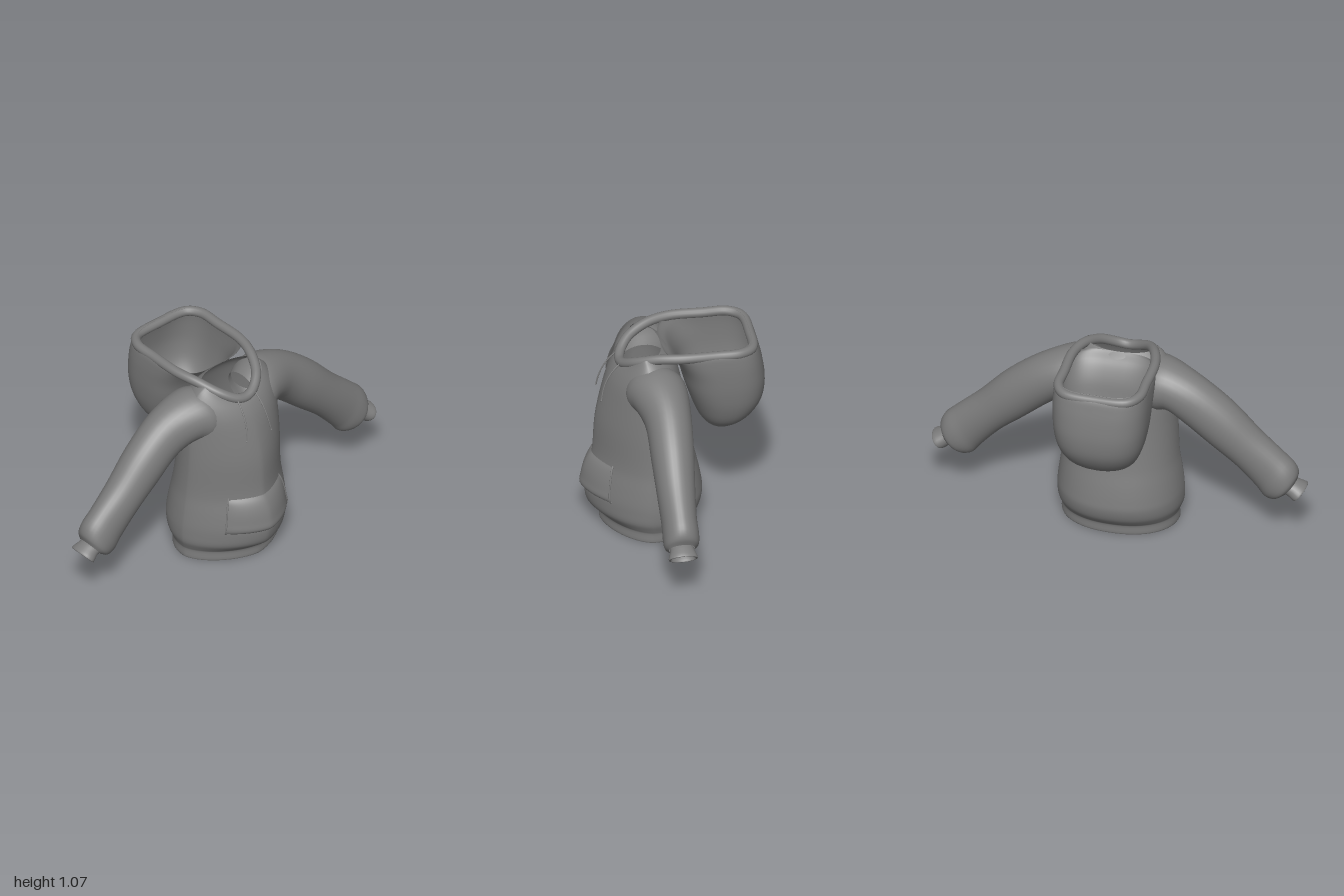
import * as THREE from 'three';

const material = new THREE.MeshStandardMaterial({ color: 0x7b7b7b, side: THREE.DoubleSide });
const V = (x, y, z) => new THREE.Vector3(x, y, z);
const SEG = 64;

function part(geometry, name) {
  const mesh = new THREE.Mesh(geometry, material);
  mesh.name = name;
  return mesh;
}

// Smooth skin through a list of rings with equal point counts
function loft(rings, { steps = 4, closed = true } = {}) {
  const n = rings[0].length;
  const rows = (rings.length - 1) * steps;
  const columns = rings[0].map((_, i) =>
    new THREE.CatmullRomCurve3(rings.map((r) => r[i]), false, 'centripetal').getPoints(rows));
  const positions = [];
  const index = [];
  for (let j = 0; j <= rows; j++) for (let i = 0; i < n; i++) positions.push(...columns[i][j].toArray());
  for (let j = 0; j < rows; j++) {
    for (let i = 0; i < (closed ? n : n - 1); i++) {
      const a = j * n + i;
      const b = j * n + ((i + 1) % n);
      index.push(a, a + n, b, b, a + n, b + n);
    }
  }
  const geometry = new THREE.BufferGeometry();
  geometry.setAttribute('position', new THREE.Float32BufferAttribute(positions, 3));
  geometry.setIndex(index);
  geometry.computeVertexNormals();
  return geometry;
}

// Superellipse ring, level at the back and sides, dipping towards the front
function ring(yFront, yBack, w, zFront, zBack, frontPower, backPower, dip) {
  return Array.from({ length: SEG }, (_, i) => {
    const a = (i / SEG) * Math.PI * 2;
    const power = Math.sin(a) >= 0 ? frontPower : backPower;
    const soft = (v) => Math.sign(v) * Math.abs(v) ** (2 / power);
    const s = soft(Math.sin(a));
    return V(w * soft(Math.cos(a)), yBack + (yFront - yBack) * Math.max(0, s) ** dip,
      (zFront + zBack) / 2 + ((zFront - zBack) / 2) * s);
  });
}

// Torso: yFront, yBack, half width, zFront, zBack, front power (low is more pointed)
const TORSO = [
  [0, 0, 0.31, 0.375, -0.095, 1.6],
  [0.052, 0.052, 0.31, 0.376, -0.098, 1.6],
  [0.07, 0.07, 0.316, 0.397, -0.112, 1.57],
  [0.11, 0.11, 0.33, 0.438, -0.14, 1.53],
  [0.17, 0.17, 0.333, 0.453, -0.155, 1.5],
  [0.22, 0.22, 0.33, 0.452, -0.15, 1.5],
  [0.3, 0.3, 0.32, 0.438, -0.135, 1.5],
  [0.4, 0.4, 0.306, 0.415, -0.112, 1.5],
  [0.6, 0.6, 0.295, 0.4, -0.08, 1.55],
  [0.75, 0.75, 0.288, 0.368, -0.06, 1.65],
  [0.85, 0.87, 0.278, 0.335, -0.035, 1.75],
  [0.9, 0.95, 0.255, 0.308, -0.01, 1.8],
  [0.925, 1.0, 0.22, 0.288, 0.025, 1.8],
  [0.942, 1.03, 0.186, 0.268, 0.06, 1.8],
];

function makeTorso() {
  const hemLining = [[0.04, 0.04, 0.295, 0.36, -0.08, 1.6], [0.004, 0.004, 0.298, 0.363, -0.083, 1.6]];
  return part(loft([...hemLining, ...TORSO].map((r) => ring(...r, 2.2, 1.2))), 'torso');
}

// Depth of the torso front at x, y
function frontZ(x, y) {
  const k = Math.max(1, TORSO.findIndex((r) => r[0] >= y));
  const [a, b] = [TORSO[k - 1], TORSO[k]];
  const t = (y - a[0]) / (b[0] - a[0]);
  const [w, zf, zb, p] = [2, 3, 4, 5].map((i) => a[i] + (b[i] - a[i]) * t);
  return (zf + zb) / 2 + ((zf - zb) / 2) * (1 - Math.abs(x / w) ** p) ** (1 / p);
}

// Sleeve: top x, y, bottom x, y, z centre, z half depth
function makeSleeve(side) {
  const sections = [
    [0.1, 0.95, 0.14, 0.72, 0.13, 0.13],
    [0.19, 0.99, 0.205, 0.7, 0.115, 0.155],
    [0.27, 0.985, 0.265, 0.715, 0.102, 0.145],
    [0.43, 0.918, 0.35, 0.662, 0.083, 0.122],
    [0.6, 0.79, 0.5, 0.535, 0.086, 0.112],
    [0.75, 0.632, 0.625, 0.43, 0.092, 0.1],
    [0.87, 0.522, 0.735, 0.31, 0.095, 0.092],
    [0.932, 0.46, 0.778, 0.257, 0.095, 0.094],
    [0.952, 0.41, 0.825, 0.248, 0.097, 0.088],
    [0.945, 0.37, 0.875, 0.278, 0.1, 0.068],
  ];
  const cuff = [
    [0.935, 0.365, 0.875, 0.285, 0.1, 0.062],
    [0.955, 0.358, 0.895, 0.28, 0.1, 0.064],
    [0.998, 0.335, 0.93, 0.257, 0.102, 0.076],
    [0.992, 0.328, 0.935, 0.262, 0.102, 0.067],
    [0.95, 0.347, 0.9, 0.287, 0.1, 0.052],
  ];
  const toRing = ([tx, ty, bx, by, zc, zh]) => Array.from({ length: 32 }, (_, i) => {
    const a = (i / 32) * Math.PI * 2;
    const c = Math.cos(a) / 2;
    return V(side * ((tx + bx) / 2 + (tx - bx) * c), (ty + by) / 2 + (ty - by) * c, zc + zh * Math.sin(a));
  });
  const group = new THREE.Group();
  group.name = side > 0 ? 'leftSleeve' : 'rightSleeve';
  group.add(part(loft(sections.map(toRing)), 'sleeve'), part(loft(cuff.map(toRing)), 'cuff'));
  return group;
}

// Hood: bag hanging behind the neck, its lip folded over a rim that runs round to the throat
function makeHood() {
  const bag = [
    [1.03, 1.062, 0.222, 0.06, -0.405, 3.6],
    [1.02, 1.045, 0.242, 0.05, -0.432, 3.4],
    [0.985, 0.985, 0.25, 0.01, -0.452, 3.2],
    [0.9, 0.9, 0.25, -0.035, -0.47, 2.9],
    [0.8, 0.8, 0.243, -0.062, -0.48, 2.7],
    [0.7, 0.7, 0.224, -0.095, -0.466, 2.5],
    [0.61, 0.61, 0.186, -0.13, -0.412, 2.3],
    [0.555, 0.555, 0.13, -0.165, -0.345, 2.1],
    [0.528, 0.528, 0.065, -0.2, -0.285, 2],
    [0.522, 0.522, 0.002, -0.238, -0.242, 2],
  ];
  const half = [
    [0.055, 0.95, 0.26], [0.13, 0.992, 0.205], [0.186, 1.03, 0.1], [0.218, 1.041, -0.02],
    [0.219, 1.04, -0.2], [0.214, 1.04, -0.33], [0.165, 1.037, -0.395],
  ].map((p) => V(...p));
  const mirrored = half.map((p) => V(-p.x, p.y, p.z)).reverse();
  const path = new THREE.CatmullRomCurve3([V(0, 0.938, 0.27), ...half, V(0, 1.035, -0.41), ...mirrored], true);
  const group = new THREE.Group();
  group.name = 'hood';
  group.add(
    part(loft(bag.map((r) => ring(...r, r[5], 2))), 'hoodBag'),
    part(new THREE.TubeGeometry(path, 120, 0.026, 14, true), 'hoodRim'));
  return group;
}

// Front pocket: raised panel with open sides
function makePocket() {
  // Height, half width, lift from the torso
  const rows = [
    [0.198, 0.2, -0.008], [0.204, 0.204, 0.016], [0.222, 0.208, 0.028], [0.26, 0.202, 0.029],
    [0.31, 0.195, 0.027], [0.35, 0.187, 0.021], [0.378, 0.178, 0.011], [0.402, 0.168, -0.006],
  ];
  const point = ([y, w, lift], u) => {
    const fade = lift > 0 ? 1 - 0.4 * Math.abs(u) ** 6 : 1;
    return V(u * w, y, frontZ(u * w, y) + lift * fade);
  };
  const panel = rows.map((r) => Array.from({ length: 33 }, (_, i) => point(r, i / 16 - 1)));
  const group = new THREE.Group();
  group.name = 'pocket';
  group.add(part(loft(panel, { closed: false }), 'pocketPanel'));
  for (const side of [-1, 1]) {
    const edge = new THREE.CatmullRomCurve3(rows.map((r) => point(r, side)));
    group.add(part(new THREE.TubeGeometry(edge, 32, 0.005, 8), 'pocketEdge'));
  }
  return group;
}

function makeDrawstring(side) {
  const points = [[0.06, 0.945, 0.282], [0.064, 0.915, 0.312], [0.068, 0.87, 0.343],
    [0.074, 0.81, 0.367], [0.084, 0.75, 0.379]];
  const path = new THREE.CatmullRomCurve3(points.map(([x, y, z]) => V(side * x, y, z)));
  const group = new THREE.Group();
  group.name = 'drawstring';
  const tip = part(new THREE.SphereGeometry(0.005, 10, 8), 'drawstringTip');
  tip.position.copy(path.getPoint(1));
  group.add(part(new THREE.TubeGeometry(path, 32, 0.004, 8), 'cord'), tip);
  return group;
}

export function createModel() {
  const model = new THREE.Group();
  model.name = 'hoodedSweatshirt';
  model.add(makeTorso(), makeHood(), makePocket());
  for (const side of [-1, 1]) model.add(makeSleeve(side), makeDrawstring(side));
  return model;
}
